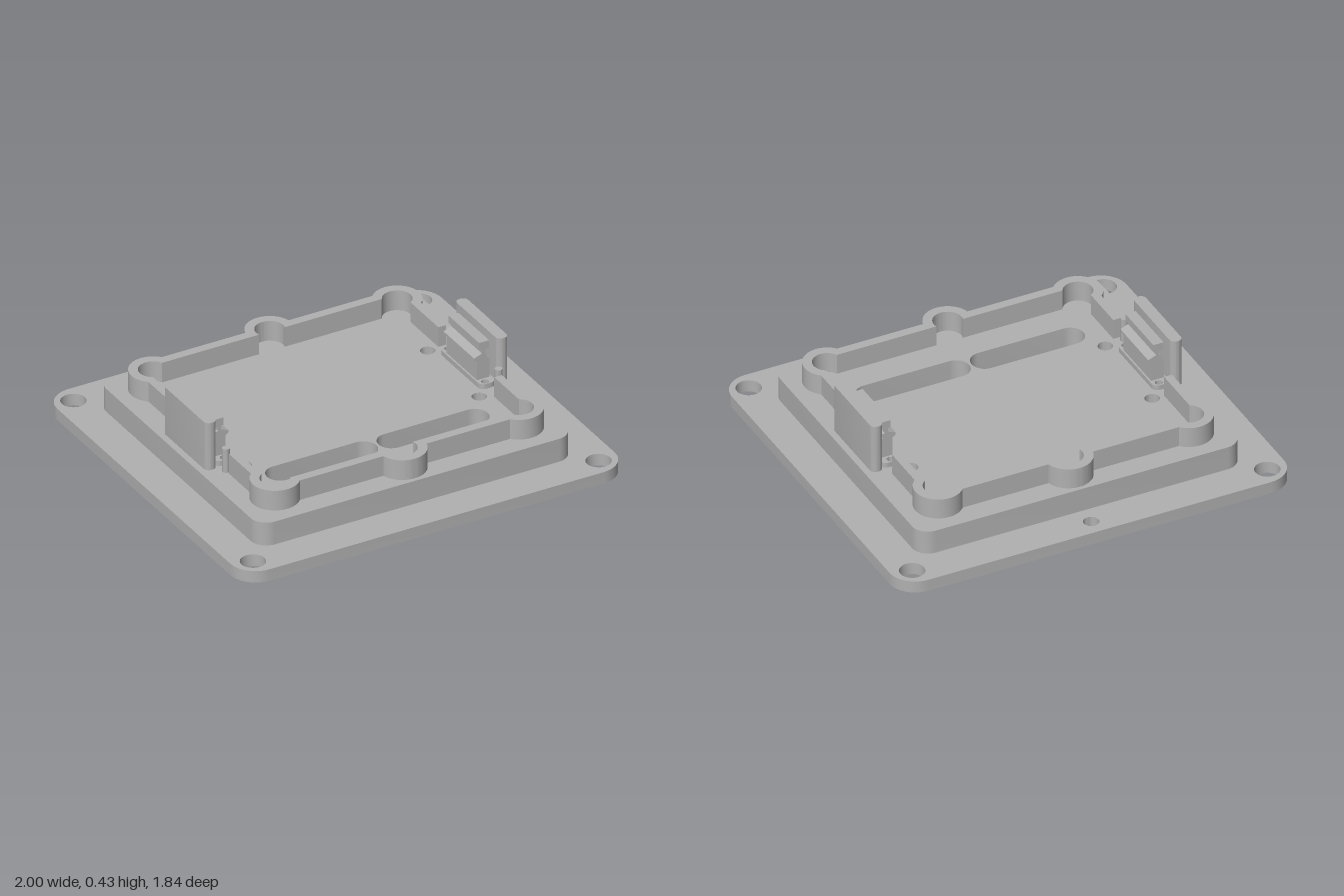
import * as THREE from 'three';
import { toCreasedNormals } from 'three/addons/utils/BufferGeometryUtils.js';

const grey = new THREE.MeshStandardMaterial({ color: 0xb0b0b0 });
grey.name = 'grey';

// Plan outlines are drawn in (x, z); arcs are given in degrees
function arc(cx, cz, r, a0, a1, n = 20) {
  const pts = [];
  for (let i = 0; i <= n; i++) {
    const a = THREE.MathUtils.degToRad(a0 + ((a1 - a0) * i) / n);
    pts.push(new THREE.Vector2(cx + r * Math.cos(a), cz + r * Math.sin(a)));
  }
  return pts;
}

// Rectangle with rounded corners, centred on (cx, cz) with half sizes hx, hz
function roundedRect(cx, cz, hx, hz, r) {
  return [
    ...arc(cx + hx - r, cz + hz - r, r, 0, 90, 10),
    ...arc(cx - hx + r, cz + hz - r, r, 90, 180, 10),
    ...arc(cx - hx + r, cz - hz + r, r, 180, 270, 10),
    ...arc(cx + hx - r, cz - hz + r, r, 270, 360, 10),
  ];
}

const circle = (x, z, r) => arc(x, z, r, 0, 345, 23);

// Upright slab between two heights, with optional holes
function slab(name, outline, y0, y1, holes = []) {
  const shape = new THREE.Shape(outline);
  shape.holes = holes.map((h) => new THREE.Path(h));
  const geo = new THREE.ExtrudeGeometry(shape, { depth: y1 - y0, bevelEnabled: false });
  geo.rotateX(Math.PI / 2).translate(0, y1, 0);
  const mesh = new THREE.Mesh(toCreasedNormals(geo, 0.6), grey);
  mesh.name = name;
  return mesh;
}

// One side of the rim: side wall, corner lobe and half of the middle lobe, mirrored in x
function rimEdge(wallX, end, cornerR, c0, c1, midR, m0) {
  const half = [
    new THREE.Vector2(wallX, end),
    ...arc(0.635, 0.555, cornerR, c0, c1),
    ...arc(0, 0.605, midR, m0, 89.9),
  ];
  const other = half.map((p) => new THREE.Vector2(-p.x, p.y)).reverse();
  return [...half, ...other];
}

function rimOutline(end, side) {
  const outer = rimEdge(0.71, end, 0.115, -49.3, 139.3, 0.115, 12.5);
  const inner = rimEdge(0.67, end, 0.07, -60, 154.6, 0.07, -16.6);
  return [...outer, ...inner.reverse()].map((p) => new THREE.Vector2(p.x, p.y * side));
}

export function createModel() {
  const model = new THREE.Group();
  model.name = 'enclosureLid';

  const bigHoles = [circle(0, -0.835, 0.037)];
  const tinyHoles = [];
  const blindHoles = [];
  for (const sx of [-1, 1]) {
    for (const sz of [-1, 1]) {
      bigHoles.push(circle(sx * 0.9, sz * 0.82, 0.06));
      tinyHoles.push(circle(sx * 0.68, sz * 0.168, 0.018));
      blindHoles.push(circle(sx * 0.612, sz * 0.235, 0.035));
    }
  }

  // Port slots with wider recesses above and a screw hole at each end
  const slots = [];
  const recesses = [];
  for (const cx of [-0.29, 0.29]) {
    slots.push(roundedRect(cx, 0.378, 0.178, 0.056, 0.055));
    slots.push(circle(cx - 0.219, 0.378, 0.02), circle(cx + 0.219, 0.378, 0.02));
    recesses.push(roundedRect(cx, 0.378, 0.284, 0.067, 0.066));
  }

  // Flange and raised step
  model.add(slab('basePlate', roundedRect(0, 0, 1, 0.92, 0.13), 0, 0.06,
    [...bigHoles, ...tinyHoles, ...slots]));
  model.add(slab('raisedStep', roundedRect(0, 0, 0.82, 0.74, 0.08), 0.06, 0.18,
    [...tinyHoles, ...blindHoles, ...recesses]));

  // Lobed rim, open at both sides
  model.add(slab('frontRim', rimOutline(0.27, 1), 0.18, 0.283));
  model.add(slab('backRim', rimOutline(0.24, -1), 0.18, 0.283));

  // Connector cross-section in (x, y) for the left side
  const profile = [
    [0.655, 0.18], [0.72, 0.18], [0.72, 0.3], [0.705, 0.31], [0.705, 0.33], [0.695, 0.335],
    [0.695, 0.358], [0.718, 0.358], [0.718, 0.397], [0.666, 0.397], [0.666, 0.358],
    [0.68, 0.358], [0.68, 0.338], [0.64, 0.322], [0.64, 0.31], [0.655, 0.3],
  ];

  for (const s of [-1, 1]) {
    const side = new THREE.Group();
    side.name = s > 0 ? 'leftConnector' : 'rightConnector';

    // Guard wall, mounting foot and locating pin
    side.add(slab('guardWall', roundedRect(s * 0.759, 0, 0.029, 0.2, 0.026), 0.18, 0.427));
    side.add(slab('mountingFoot', roundedRect(s * 0.688, 0, 0.042, 0.19, 0.03), 0.18, 0.205,
      [-1, 1].map((sz) => circle(s * 0.68, sz * 0.168, 0.018))));
    side.add(slab('locatingPin', circle(s * 0.71, 0.24, 0.018), 0.18, 0.302));

    // Connector body
    const shape = new THREE.Shape(profile.map(([x, y]) => new THREE.Vector2(s * x, y)));
    const geo = new THREE.ExtrudeGeometry(shape, { depth: 0.28, bevelEnabled: false });
    geo.translate(0, 0, -0.14);
    const body = new THREE.Mesh(geo, grey);
    body.name = 'connectorBody';
    side.add(body);
    model.add(side);
  }

  return model;
}
